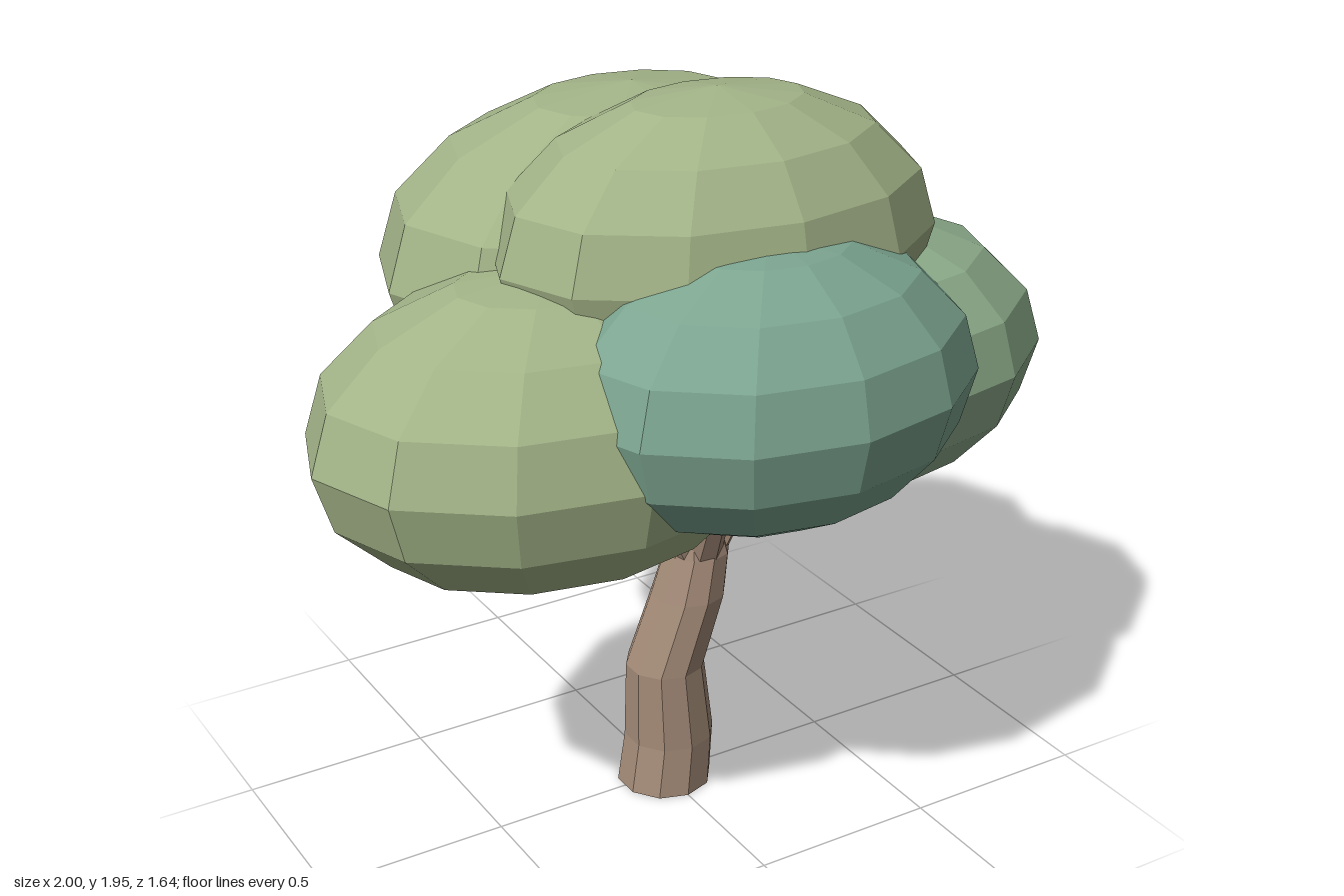
import * as THREE from 'three';

const paint = (color) => new THREE.MeshStandardMaterial({ color, flatShading: true });

// Faceted foliage ellipsoid; an optional axis direction is drawn out to a blunt point
function blob(name, color, center, radius, nub) {
  const geo = new THREE.SphereGeometry(1, 12, 8);
  const pos = geo.attributes.position;
  const v = new THREE.Vector3();
  for (let i = 0; i < pos.count; i++) {
    v.fromBufferAttribute(pos, i);
    const along = nub ? Math.max(0, v.dot(nub.dir)) : 0;
    v.multiply(new THREE.Vector3(...radius));
    if (nub) v.addScaledVector(nub.dir, nub.amount * along ** 12);
    pos.setXYZ(i, v.x, v.y, v.z);
  }
  geo.computeVertexNormals();
  const mesh = new THREE.Mesh(geo, paint(color));
  mesh.name = name;
  mesh.position.set(...center);
  return mesh;
}

// Limb lofted through horizontal rings [x, y, z, radius], closed at both ends
function limb(name, rings, sides, color) {
  const verts = [], index = [];
  for (const [x, y, z, r] of rings) {
    for (let i = 0; i < sides; i++) {
      const a = ((i + 0.5) / sides) * Math.PI * 2;
      verts.push(x + r * Math.cos(a), y, z + r * Math.sin(a));
    }
  }
  for (let k = 0; k < rings.length - 1; k++) {
    for (let i = 0; i < sides; i++) {
      const a = k * sides + i, b = k * sides + ((i + 1) % sides);
      index.push(a, a + sides, b, b, a + sides, b + sides);
    }
  }
  const last = (rings.length - 1) * sides;
  for (let i = 1; i < sides - 1; i++) {
    index.push(0, i, i + 1);
    index.push(last, last + i + 1, last + i);
  }
  const geo = new THREE.BufferGeometry();
  geo.setAttribute('position', new THREE.Float32BufferAttribute(verts, 3));
  geo.setIndex(index);
  geo.computeVertexNormals();
  const mesh = new THREE.Mesh(geo, paint(color));
  mesh.name = name;
  return mesh;
}

export function createModel() {
  const tree = new THREE.Group();
  tree.name = 'tree';
  const bark = 0xa48b78, sage = 0xa3b488, fern = 0x8eae8c, teal = 0x7ca590;

  // Swaying trunk
  tree.add(limb('trunk', [
    [0, 0, 0, 0.128],
    [0.015, 0.14, 0, 0.122],
    [0, 0.36, 0.005, 0.106],
    [0.065, 0.56, 0.015, 0.1],
    [0.09, 0.68, 0.018, 0.087],
    [0.085, 0.76, 0.018, 0.068],
  ], 10, bark));

  // Branches fanning out of the trunk top into the foliage
  const branches = {
    branchRight: [-0.13, 0.98, 0.06],
    branchLeft: [0.32, 0.96, 0.06],
    branchFront: [0.06, 1.02, 0.24],
    branchBack: [0.07, 1.12, -0.33],
  };
  for (const [name, [x, y, z]] of Object.entries(branches)) {
    const dx = x - 0.09, dz = z - 0.018, d = Math.hypot(dx, dz);
    tree.add(limb(name, [
      [0.09 + (dx / d) * 0.03, 0.67, 0.018 + (dz / d) * 0.03, 0.052],
      [0.09 + dx * 0.5, 0.68 + (y - 0.68) * 0.5, 0.018 + dz * 0.5, 0.044],
      [x, y, z, 0.034],
    ], 7, bark));
  }

  // Foliage masses
  const back = { dir: new THREE.Vector3(0, 0, -1), amount: 0.06 };
  tree.add(
    blob('foliageRight', sage, [-0.38, 1.195, 0.12], [0.62, 0.39, 0.47]),
    blob('foliageLeft', fern, [0.42, 1.21, 0.12], [0.58, 0.365, 0.45]),
    blob('foliageFront', teal, [0.04, 1.315, 0.4], [0.54, 0.36, 0.42]),
    blob('foliageTop', sage, [0.075, 1.58, 0.12], [0.585, 0.37, 0.4]),
    blob('foliageBack', sage, [0.05, 1.45, -0.24], [0.68, 0.43, 0.52], back),
  );
  return tree;
}
